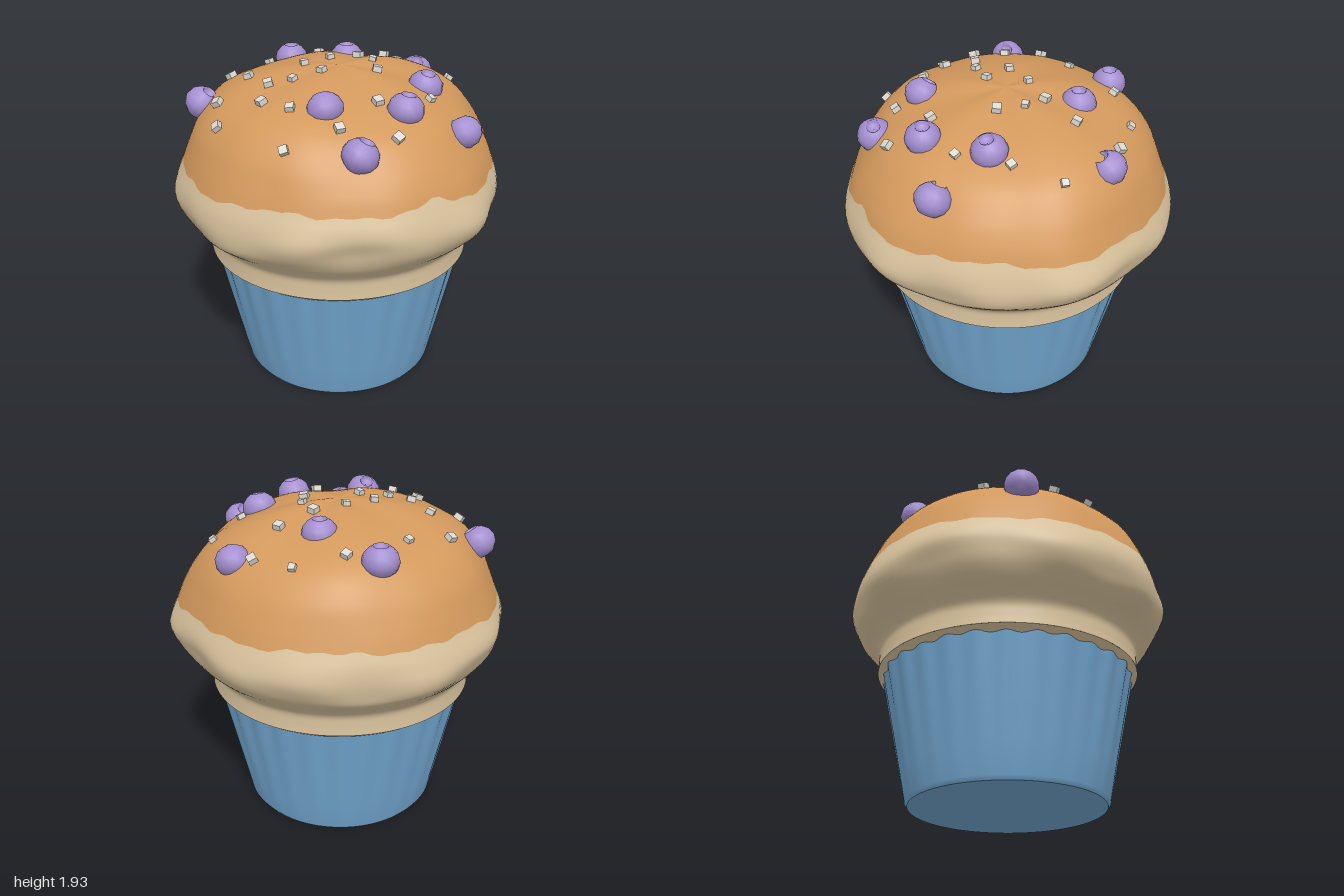
import * as THREE from 'three';

const mat = (name, color) => {
  const m = new THREE.MeshStandardMaterial({ color });
  m.name = name;
  return m;
};

// Closed ring-by-ring surface; fn(angle, row) returns [x, y, z], rows run upwards
function ringSurface(cols, rows, fn, splitRow) {
  const pos = [], index = [];
  for (let j = 0; j <= rows; j++)
    for (let i = 0; i < cols; i++) pos.push(...fn((i / cols) * Math.PI * 2, j));
  for (let j = 0; j < rows; j++)
    for (let i = 0; i < cols; i++) {
      const k = (i + 1) % cols;
      const a = j * cols + i, b = j * cols + k, c = a + cols, d = b + cols;
      index.push(a, c, b, b, c, d);
    }
  const g = new THREE.BufferGeometry();
  g.setAttribute('position', new THREE.Float32BufferAttribute(pos, 3));
  g.setIndex(index);
  g.computeVertexNormals();
  if (splitRow) {
    const n = splitRow * cols * 6;
    g.addGroup(0, n, 0);
    g.addGroup(n, index.length - n, 1);
  }
  return g;
}

const gauss = (x, w) => Math.exp(-(x * x) / (w * w));
const smooth = THREE.MathUtils.smoothstep;

// Dome profile [radius, height], from the collar up to the crown
const profile = new THREE.CatmullRomCurve3([
  [0.787, 0.8], [0.785, 0.86], [0.79, 0.92], [0.83, 0.97], [0.91, 1.04], [0.97, 1.11],
  [1.0, 1.2], [0.99, 1.28], [0.955, 1.37], [0.91, 1.48], [0.85, 1.6], [0.74, 1.72],
  [0.58, 1.8], [0.4, 1.855], [0.2, 1.89], [0.001, 1.9],
].map(([r, y]) => new THREE.Vector3(r, y, 0)));
const EDGE = 8 / 15;

// Uneven outline of the dome, every 22.5 degrees from +x towards +z
const outline = [0.985, 1.0, 0.94, 0.95, 0.98, 0.97, 0.94, 0.95, 0.99, 0.98, 0.975, 1.0, 0.995, 0.98, 0.975, 0.985];
function outlineAt(a) {
  const f = (a / (Math.PI * 2)) * 16, i = Math.floor(f), u = f - i;
  const s = u * u * (3 - 2 * u);
  return outline[i % 16] * (1 - s) + outline[(i + 1) % 16] * s;
}

function domePoint(a, row, rows) {
  // ragged edge of the baked crust
  const ragged = 0.006 * Math.sin(a * 7 + 1) + 0.004 * Math.sin(a * 17) + 0.004 * Math.sin(a * 31 + 2)
    + 0.03 * gauss(a - 1.8, 0.1);
  const t = row / rows + ragged * gauss(row / rows - EDGE, 0.08);
  const p = profile.getPoint(THREE.MathUtils.clamp(t, 0, 1));
  const w = smooth(p.y, 0.92, 1.15);
  const belly = gauss(p.y - 1.15, 0.12);
  const top = smooth(p.y, 1.4, 1.65);
  let r = p.x * (1 + (outlineAt(a) - 1) * w);
  r += belly * w * (0.012 * Math.sin(a * 6 + p.y * 9) + 0.008 * Math.sin(a * 11 - p.y * 7));
  r += top * p.x * 0.008 * Math.sin(a * 7 + 1.2);
  let y = p.y + belly * w * 0.025 * Math.sin(a * 3 + 1.5);
  y -= top * p.x * 0.06 * Math.max(0, Math.sin(a));
  y += top * p.x * (1 - p.x) * 0.04 * Math.sin(a * 5 + 0.6);
  return [r * Math.cos(a), y, r * Math.sin(a) - 0.015 * (1 - w)];
}

export function createModel() {
  const group = new THREE.Group();
  group.name = 'muffin';
  const blue = mat('paper blue', 0x74a9d2);
  const tan = mat('pale dough', 0xdac49e);
  const crust = mat('golden crust', 0xd3995c);
  const purple = mat('berry purple', 0xa48fd0);
  const white = mat('sugar white', 0xdedad2);
  const add = (name, geometry, material) => {
    const m = new THREE.Mesh(geometry, material);
    m.name = name;
    group.add(m);
    return m;
  };

  // Fluted paper cup with a closed base (repeated row keeps the base edge sharp)
  const cupRows = [[0.001, 0], [0.575, 0], [0.575, 0], [0.592, 0.025], [0.63, 0.2], [0.672, 0.4], [0.714, 0.6], [0.753, 0.785]];
  const cup = add('paperCup', ringSurface(168, cupRows.length - 1, (a, j) => {
    const [r0, y] = cupRows[j];
    const r = r0 + (y / 0.785) * (0.007 * Math.cos(a * 28) + 0.003 * Math.sin(a * 9));
    return [r * Math.cos(a), y, r * Math.sin(a)];
  }), blue);
  cup.position.z = -0.015;

  // Underside of the collar, tapering into the cup
  const under = add('collarUnderside', new THREE.LatheGeometry(
    [new THREE.Vector2(0.7, 0.735), new THREE.Vector2(0.787, 0.8)], 96), tan);
  under.position.z = -0.015;

  // Collar, swollen belly and baked crust
  const rows = 60;
  const dome = add('muffinTop',
    ringSurface(120, rows, (a, j) => domePoint(a, j, rows), Math.round(rows * EDGE)), [tan, crust]);

  // Berries with a dimpled crown: [x, y, z, crown lean x, crown lean z]
  const berryGeo = new THREE.LatheGeometry([
    [0, -0.09], [0.055, -0.078], [0.09, -0.042], [0.103, 0], [0.092, 0.042], [0.068, 0.07],
    [0.05, 0.08], [0.044, 0.087], [0.037, 0.082], [0.032, 0.06], [0, 0.055],
  ].map(([r, y]) => new THREE.Vector2(r, y)), 16);
  const up = new THREE.Vector3(0, 1, 0);
  [
    [-0.56, 1.67, -0.58, 0.03, 0.05], [0.22, 1.76, -0.64, 0, 0], [0.32, 1.82, -0.25, 0, 0],
    [0.73, 1.69, -0.03, -0.035, 0.035], [-0.4, 1.8, 0.27, 0.01, -0.05], [-0.07, 1.78, 0.55, 0.01, 0.01],
    [0.28, 1.79, 0.4, 0, 0.02], [-0.46, 1.64, 0.58, 0.025, 0.025], [0.21, 1.62, 0.74, 0, -0.05],
  ].forEach(([x, y, z, dx, dz], i) => {
    const b = add('berry' + (i + 1), berryGeo, purple);
    b.position.set(x, y, z);
    b.quaternion.setFromUnitVectors(up, new THREE.Vector3(dx, 0.08, dz).normalize());
  });

  // Sugar grains resting on the crust
  const ray = new THREE.Raycaster();
  const down = new THREE.Vector3(0, -1, 0);
  const grainGeo = new THREE.BoxGeometry(1, 0.8, 1);
  dome.updateMatrixWorld();
  [
    [-0.3, -0.61], [-0.03, -0.57], [0.35, -0.52], [-0.62, -0.35], [-0.37, -0.37], [0.59, -0.38],
    [-0.75, -0.2], [-0.41, -0.16], [-0.13, -0.16], [0.05, -0.13], [0.69, -0.16], [-0.56, -0.05],
    [-0.31, -0.07], [-0.15, 0], [0.23, -0.07], [0.46, -0.07], [0.21, 0.06], [-0.53, 0.14], [0.11, 0.18],
    [-0.71, 0.28], [0.68, 0.26], [-0.45, 0.42], [-0.15, 0.42], [0.42, 0.38], [0.16, 0.53], [-0.25, 0.65],
  ].forEach(([x, z], i) => {
    ray.set(new THREE.Vector3(x, 3, z), down);
    const hit = ray.intersectObject(dome)[0];
    if (!hit) return;
    const s = 0.038 + 0.013 * Math.abs(Math.sin(i * 2.3 + 1));
    const grain = add('sugarGrain' + (i + 1), grainGeo, white);
    grain.scale.setScalar(s);
    grain.quaternion.setFromUnitVectors(up, hit.face.normal);
    grain.rotateY(i * 1.7);
    grain.position.copy(hit.point).addScaledVector(hit.face.normal, s * 0.25);
  });
  return group;
}
